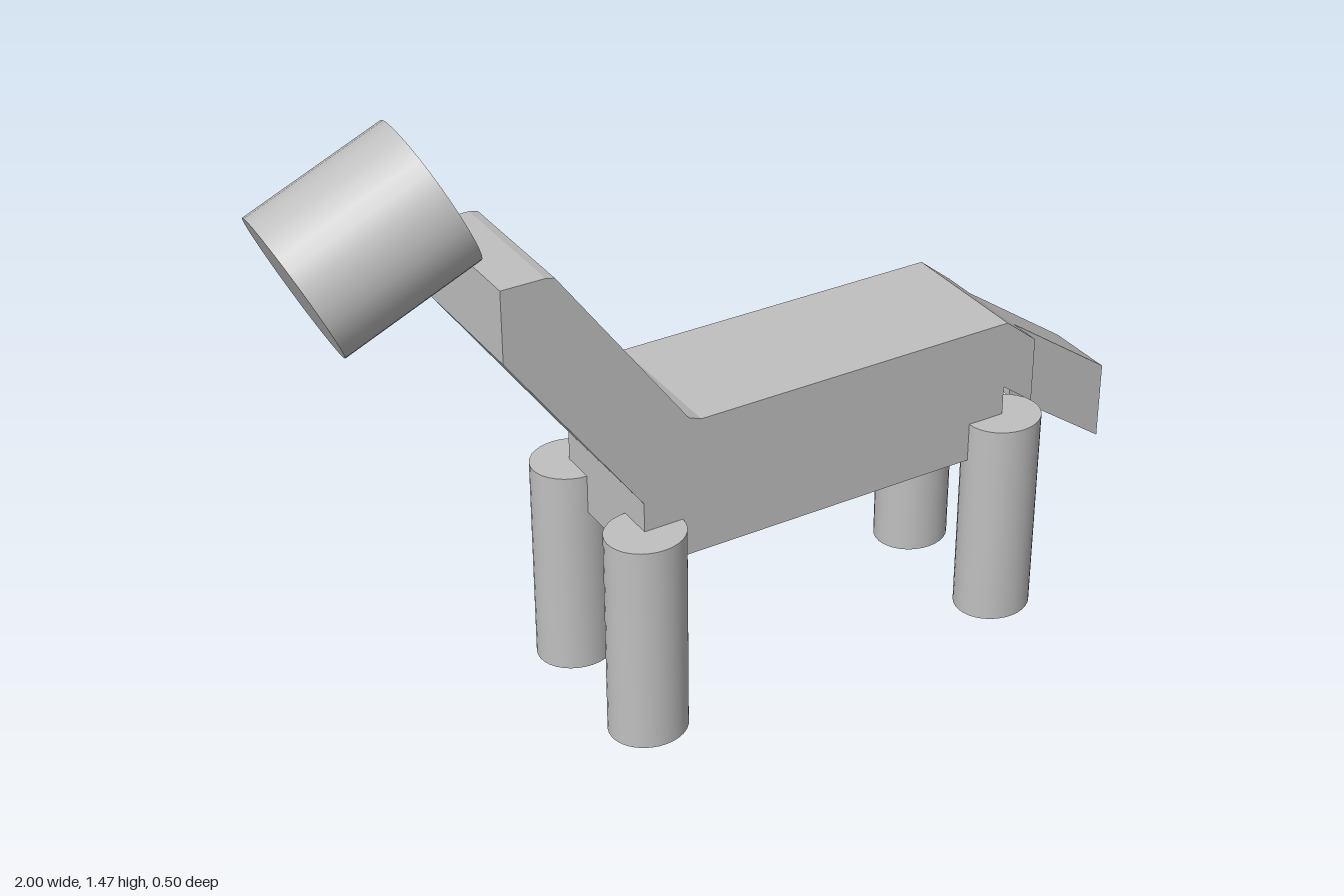
import * as THREE from 'three';

export function createModel() {
  const model = new THREE.Group();
  const grey = new THREE.MeshStandardMaterial({ color: 0xc0c0c0 });
  grey.name = 'plain grey';

  const add = (name, geometry) => {
    const mesh = new THREE.Mesh(geometry, grey);
    mesh.name = name;
    model.add(mesh);
    return mesh;
  };

  // Side profile in x and y, extruded between two z planes
  const slab = (name, points, zMin, zMax) => {
    const shape = new THREE.Shape(points.map(([x, y]) => new THREE.Vector2(x, y)));
    const geometry = new THREE.ExtrudeGeometry(shape, { depth: zMax - zMin, bevelEnabled: false });
    return add(name, geometry.translate(0, 0, zMin));
  };

  // Body, neck and sloping rump in one outline
  slab('bodyAndNeck', [
    [-0.28, 0.415], [0.65, 0.415], [0.65, 0.58], [0.73, 0.52], [0.73, 0.68],
    [0.65, 0.745], [-0.14, 0.745], [-0.17, 0.757], [-0.47, 1.17], [-0.49, 1.175],
    [-0.59, 1.175], [-0.59, 1.01], [-0.28, 0.58],
  ], -0.165, 0.17);

  // Narrow drooping tail
  slab('tail', [[0.73, 0.49], [1, 0.3], [1, 0.49], [0.73, 0.68]], -0.081, 0.09);

  // Legs, slightly oval in section
  for (const [end, x] of [['front', -0.278], ['back', 0.651]]) {
    for (const [side, z] of [['Left', 0.169], ['Right', -0.166]]) {
      const leg = add(end + side + 'Leg', new THREE.CylinderGeometry(0.092, 0.092, 0.51, 32));
      leg.scale.z = 0.9;
      leg.position.set(x, 0.255, z);
    }
  }

  // Tilted drum head, turned a little sideways
  const head = add('head', new THREE.CylinderGeometry(0.167, 0.167, 0.327, 32));
  head.position.set(-0.782, 1.25, -0.029);
  head.quaternion.setFromUnitVectors(
    new THREE.Vector3(0, 1, 0),
    new THREE.Vector3(0.295, 0.14, 0.012).normalize(),
  );

  return model;
}
